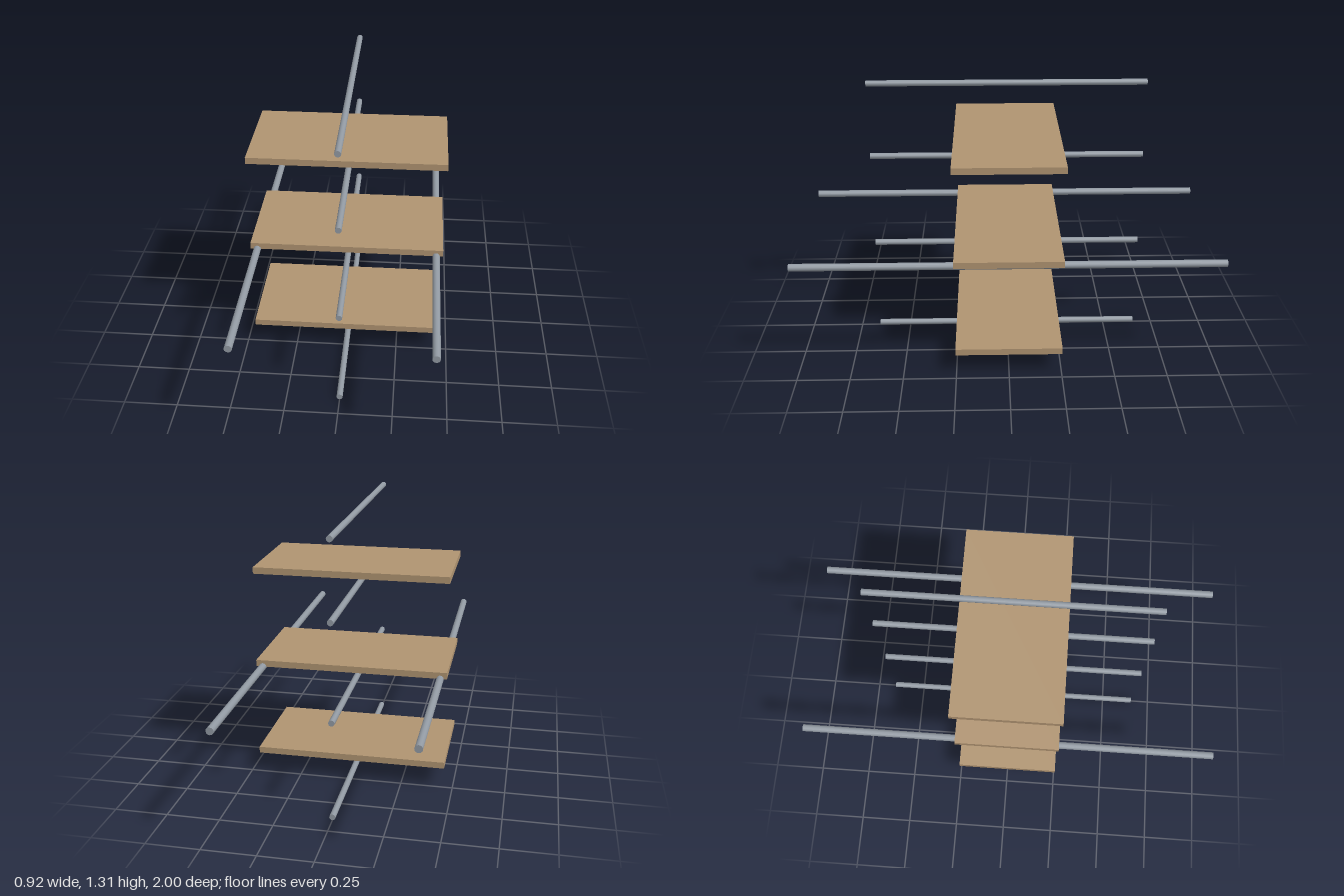
import * as THREE from 'three';

export function createModel() {
  const model = new THREE.Group();
  model.name = 'shelfRack';

  const wood = new THREE.MeshStandardMaterial({ color: 0xb09471 });
  wood.name = 'wood';
  const steel = new THREE.MeshStandardMaterial({ color: 0x929aa3 });
  steel.name = 'steel';

  // Round bar running front to back
  function addRod(name, radius, length, x, y) {
    const geometry = new THREE.CylinderGeometry(radius, radius, length, 12);
    geometry.rotateX(Math.PI / 2);
    const rod = new THREE.Mesh(geometry, steel);
    rod.name = name;
    rod.position.set(x, y, 0);
    model.add(rod);
  }

  // Three evenly spaced boards
  const board = new THREE.BoxGeometry(0.916, 0.031, 0.506);
  [0.116, 0.575, 1.033].forEach((y, i) => {
    const shelf = new THREE.Mesh(board, wood);
    shelf.name = `shelf${i + 1}`;
    shelf.position.y = y;
    model.add(shelf);
  });

  // Short bars on the centre line
  [0.0145, 0.476, 0.935, 1.294].forEach((y, i) => addRod(`centreRod${i + 1}`, 0.0145, 1.31, 0, y));

  // Long carrying bars at the sides of the middle board
  addRod('leftRail', 0.0175, 2, 0.426, 0.559);
  addRod('rightRail', 0.0175, 2, -0.426, 0.559);

  return model;
}
